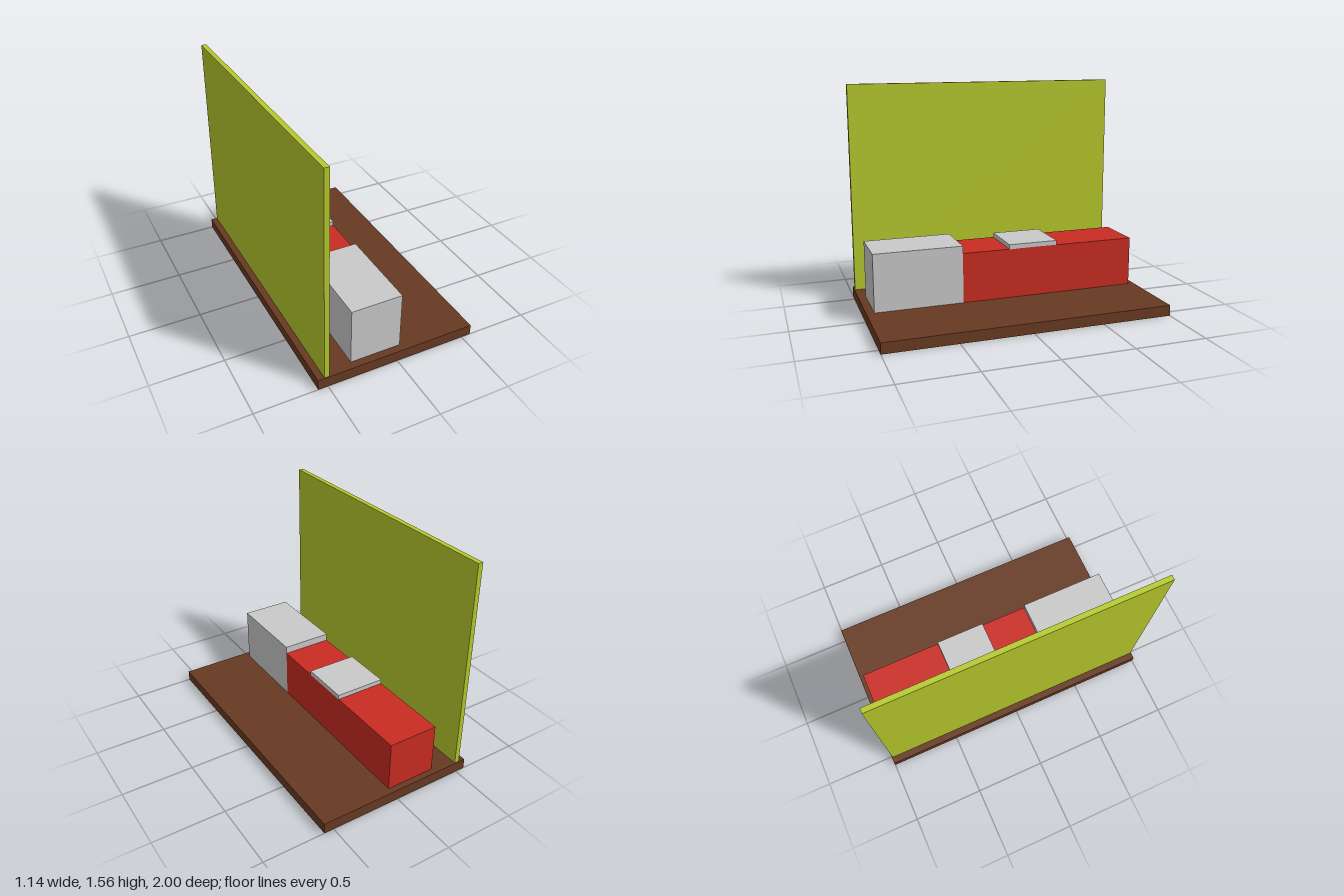
import * as THREE from 'three';

const material = (name, color) => {
  const m = new THREE.MeshStandardMaterial({ color });
  m.name = name;
  return m;
};

// Box given by its lower and upper limits on each axis
function block(name, mat, [x0, x1], [y0, y1], [z0, z1]) {
  const mesh = new THREE.Mesh(new THREE.BoxGeometry(x1 - x0, y1 - y0, z1 - z0), mat);
  mesh.position.set((x0 + x1) / 2, (y0 + y1) / 2, (z0 + z1) / 2);
  mesh.name = name;
  return mesh;
}

export function createModel() {
  const brown = material('brown', 0x683a22);
  const green = material('lime green', 0xb6c92c);
  const red = material('red', 0xc92c22);
  const grey = material('light grey', 0xc9c9c9);

  const group = new THREE.Group();
  group.name = 'model';
  const floor = 0.075;
  const width = [-0.313, 0.045]; // shared by the row of blocks

  group.add(
    // Base slab and tall side panel
    block('base', brown, [-0.568, 0.568], [0, floor], [-1, 1]),
    block('sidePanel', green, [-0.522, -0.487], [floor, 1.563], [-0.995, 0.995]),
    // Long block with a raised end and a thin pad on top
    block('longBlock', red, width, [floor, 0.429], [-0.957, 0.326]),
    block('endBlock', grey, width, [floor, 0.482], [0.326, 0.946]),
    block('topPad', grey, width, [0.427, 0.461], [-0.37, -0.013]),
  );
  return group;
}
